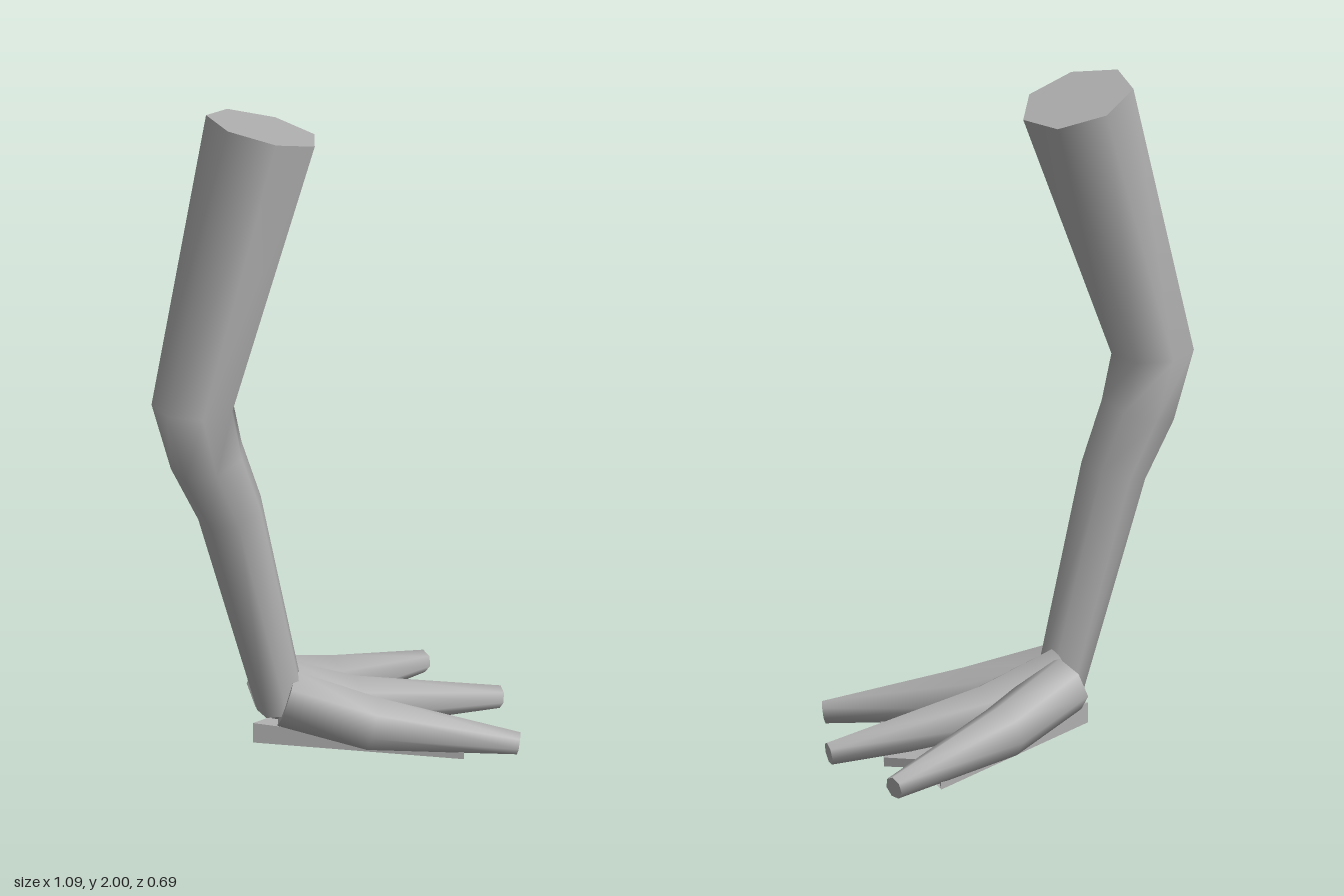
import * as THREE from 'three';

const SIDES = 7;

// Lofts seven-sided rings [x, y, z, radius] along a path; one corner of each ring points to hint.
function limb(name, rings, hint, material) {
  const centres = rings.map(([x, y, z]) => new THREE.Vector3(x, y, z));
  const pos = [], index = [];
  const tangent = (i) => centres[i + 1].clone().sub(centres[i]).normalize();
  const last = rings.length - 1;
  rings.forEach((ring, i) => {
    const d = new THREE.Vector3();
    if (i > 0) d.add(tangent(i - 1));
    if (i < last) d.add(tangent(i));
    d.normalize();
    const u = hint.clone().addScaledVector(d, -hint.dot(d)).normalize();
    const v = d.clone().cross(u);
    for (let k = 0; k < SIDES; k++) {
      const a = (k / SIDES) * Math.PI * 2;
      const p = centres[i].clone()
        .addScaledVector(u, Math.cos(a) * ring[3])
        .addScaledVector(v, Math.sin(a) * ring[3]);
      pos.push(p.x, p.y, p.z);
    }
  });
  for (let i = 0; i < last; i++) {
    for (let k = 0; k < SIDES; k++) {
      const a = i * SIDES + k, b = i * SIDES + ((k + 1) % SIDES);
      index.push(a, b, b + SIDES, a, b + SIDES, a + SIDES);
    }
  }
  // Flat end caps on their own vertices keep the rims sharp
  for (const end of [0, last]) {
    const start = pos.length / 3;
    pos.push(...pos.slice(end * SIDES * 3, (end + 1) * SIDES * 3));
    for (let k = 1; k < SIDES - 1; k++) {
      if (end === 0) index.push(start, start + k + 1, start + k);
      else index.push(start, start + k, start + k + 1);
    }
  }
  const geo = new THREE.BufferGeometry();
  geo.setAttribute('position', new THREE.Float32BufferAttribute(pos, 3));
  geo.setIndex(index);
  geo.computeVertexNormals();
  const mesh = new THREE.Mesh(geo, material);
  mesh.name = name;
  return mesh;
}

// Tapered slab from an outline of [x, z, bottom, top], fanned from its heel point.
function webbing(outline, material) {
  const n = outline.length, pos = [], index = [];
  outline.forEach(([x, z, lo]) => pos.push(x, lo, z));
  outline.forEach(([x, z, , hi]) => pos.push(x, hi, z));
  for (let k = 1; k < n - 1; k++) {
    index.push(0, k + 1, k, n, n + k, n + k + 1);
  }
  for (let k = 0; k < n; k++) {
    const j = (k + 1) % n;
    index.push(k, j, n + j, k, n + j, n + k);
  }
  const indexed = new THREE.BufferGeometry();
  indexed.setAttribute('position', new THREE.Float32BufferAttribute(pos, 3));
  indexed.setIndex(index);
  const geo = indexed.toNonIndexed();
  geo.computeVertexNormals();
  const mesh = new THREE.Mesh(geo, material);
  mesh.name = 'webbing';
  return mesh;
}

export function createModel() {
  const group = new THREE.Group();
  group.name = 'webbedLeg';
  const grey = new THREE.MeshStandardMaterial({ color: 0xb0b0b0 });
  grey.name = 'grey';

  // Leg, from ankle up to the cut thigh
  group.add(limb('leg', [
    [-0.155, 0.18, 0.033, 0.072],
    [-0.315, 0.81, 0.036, 0.097],
    [-0.388, 0.985, 0.038, 0.11],
    [-0.432, 1.16, 0.037, 0.12],
    [-0.198, 1.955, 0, 0.166],
  ], new THREE.Vector3(1, 0, 0), grey));

  // Toes: one straight ahead and a mirrored pair
  const up = new THREE.Vector3(0, 1, 0);
  group.add(limb('middleToe', [
    [-0.16, 0.22, 0, 0.087],
    [0.07, 0.135, 0, 0.079],
    [0.54, 0.062, 0, 0.033],
  ], up, grey));
  for (const s of [1, -1]) {
    group.add(limb(s > 0 ? 'frontToe' : 'backToe', [
      [-0.15, 0.21, s * 0.05, 0.085],
      [0.07, 0.132, s * 0.157, 0.079],
      [0.45, 0.062, s * 0.318, 0.033],
    ], up, grey));
  }

  // Webbing under the toes, notched between them
  group.add(webbing([
    [-0.23, 0, 0.065, 0.125],
    [0.297, -0.28, 0.025, 0.05],
    [0.255, -0.105, 0.02, 0.045],
    [0.375, 0, 0.003, 0.03],
    [0.255, 0.105, 0.02, 0.045],
    [0.297, 0.28, 0.025, 0.05],
  ].reverse(), grey));

  return group;
}
